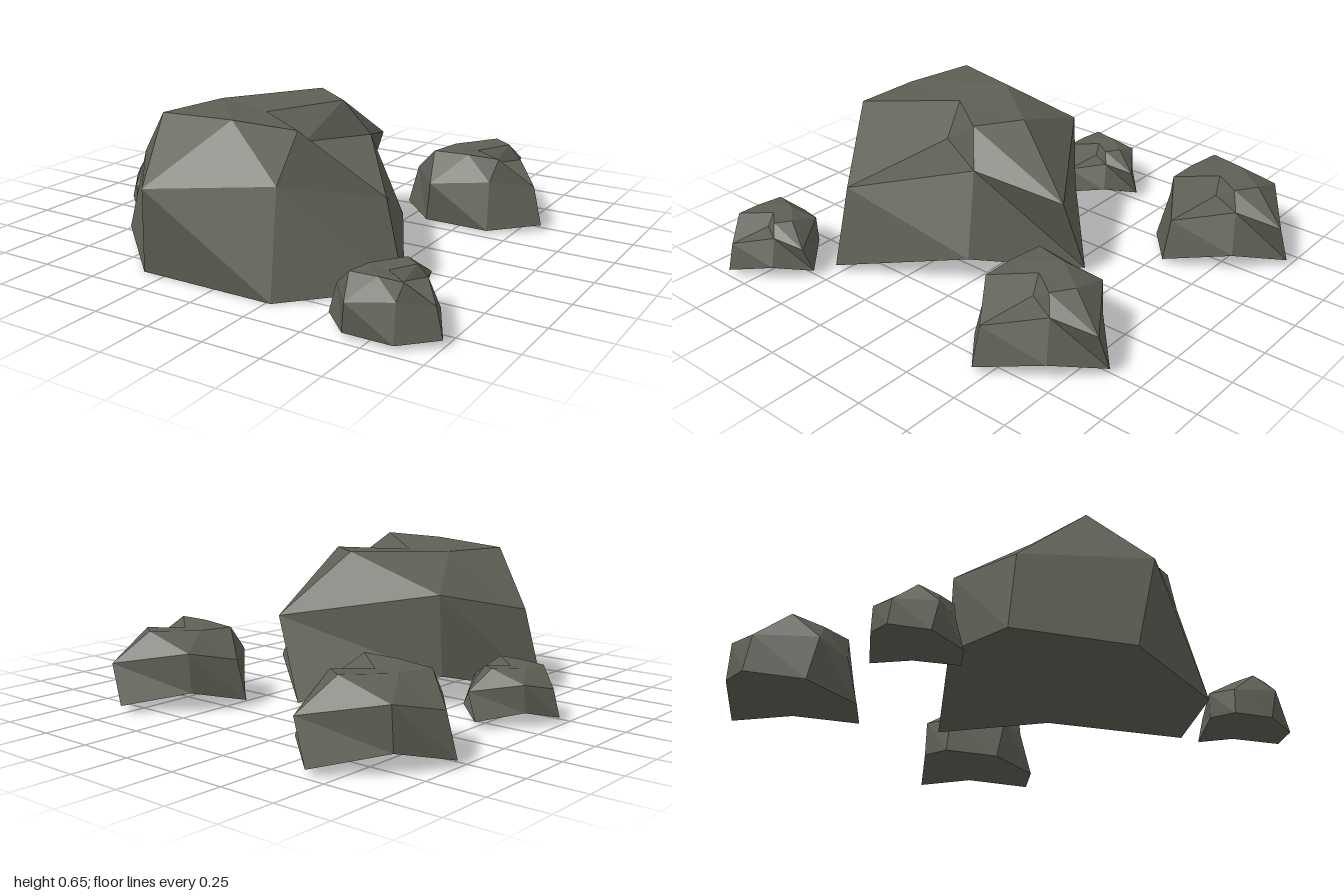
import * as THREE from 'three';

// Cross-sections of one boulder, counter-clockwise from above: ground ring and shoulder ring
const ground = [
  [-0.71, 0.03, 0.52], [-0.345, 0.005, 0.86], [0.27, 0, 0.85], [0.67, 0.03, 0.52],
  [0.38, 0.13, -0.01], [-0.02, 0.03, -0.34], [-0.48, 0.14, 0.07],
];
const shoulder = [
  [-0.62, 0.39, 0.5], [-0.285, 0.385, 0.92], [0.235, 0.435, 0.75], [0.58, 0.385, 0.51],
  [0.255, 0.485, 0.06], [0.11, 0.39, -0.315], [-0.46, 0.49, 0.07],
];
// Crown corners: front edge, left ridge, back, and the dent (last)
const crown = [
  [-0.37, 0.63, 0.67], [-0.01, 0.65, 0.69], [0.295, 0.65, 0.69], [-0.3, 0.635, 0.36],
  [-0.02, 0.645, 0.01], [0.165, 0.64, 0.14], [-0.04, 0.62, 0.41], [0.11, 0.5, 0.35],
];

function rockGeometry() {
  const n = ground.length;
  const points = [...ground, ...shoulder, ...crown];
  const index = [];

  // Side walls
  for (let i = 0; i < n; i++) {
    const j = (i + 1) % n;
    index.push(i, j, n + i, j, n + j, n + i);
  }

  // s = shoulder corner, c = crown corner, plain numbers = ground corner
  const s = (i) => n + i;
  const c = (i) => 2 * n + i;
  const facets = [
    // underside
    [0, 2, 1], [0, 3, 2], [0, 4, 3], [0, 6, 4], [6, 5, 4],
    // front slope
    [s(0), s(1), c(0)], [s(1), c(1), c(0)], [s(1), s(2), c(1)], [s(2), c(2), c(1)], [s(2), s(3), c(2)],
    // right slope and dent
    [c(2), s(3), c(7)], [s(3), s(4), c(7)], [s(4), c(5), c(7)], [c(6), c(2), c(7)], [c(6), c(7), c(5)],
    // back and left slopes
    [s(4), s(5), c(5)], [s(5), c(4), c(5)], [s(5), s(6), c(4)], [s(6), c(3), c(4)],
    [s(6), s(0), c(3)], [s(0), c(0), c(3)],
    // top
    [c(0), c(1), c(3)], [c(3), c(1), c(6)], [c(1), c(2), c(6)], [c(3), c(6), c(4)], [c(4), c(6), c(5)],
  ];
  index.push(...facets.flat());

  const geometry = new THREE.BufferGeometry();
  geometry.setAttribute('position', new THREE.Float32BufferAttribute(points.flat(), 3));
  geometry.setIndex(index);
  const faceted = geometry.toNonIndexed();
  faceted.computeVertexNormals();
  return faceted;
}

export function createModel() {
  const group = new THREE.Group();
  group.name = 'rockCluster';
  const geometry = rockGeometry();
  const stone = new THREE.MeshStandardMaterial({ color: 0x5c6054, flatShading: true });

  // Same boulder repeated at several sizes: name, scale, position
  const rocks = [
    ['mainBoulder', 1, [0, 0, 0]],
    ['backRightRock', 0.503, [-0.643, 0.013, -0.819]],
    ['backLeftRock', 0.482, [0.522, 0.015, -0.7]],
    ['rightPebble', 0.326, [-0.758, 0.018, 0.012]],
    ['frontLeftPebble', 0.339, [0.771, 0.02, 0.674]],
  ];
  for (const [name, scale, position] of rocks) {
    const rock = new THREE.Mesh(geometry, stone);
    rock.name = name;
    rock.scale.setScalar(scale);
    rock.position.set(...position);
    group.add(rock);
  }
  return group;
}
